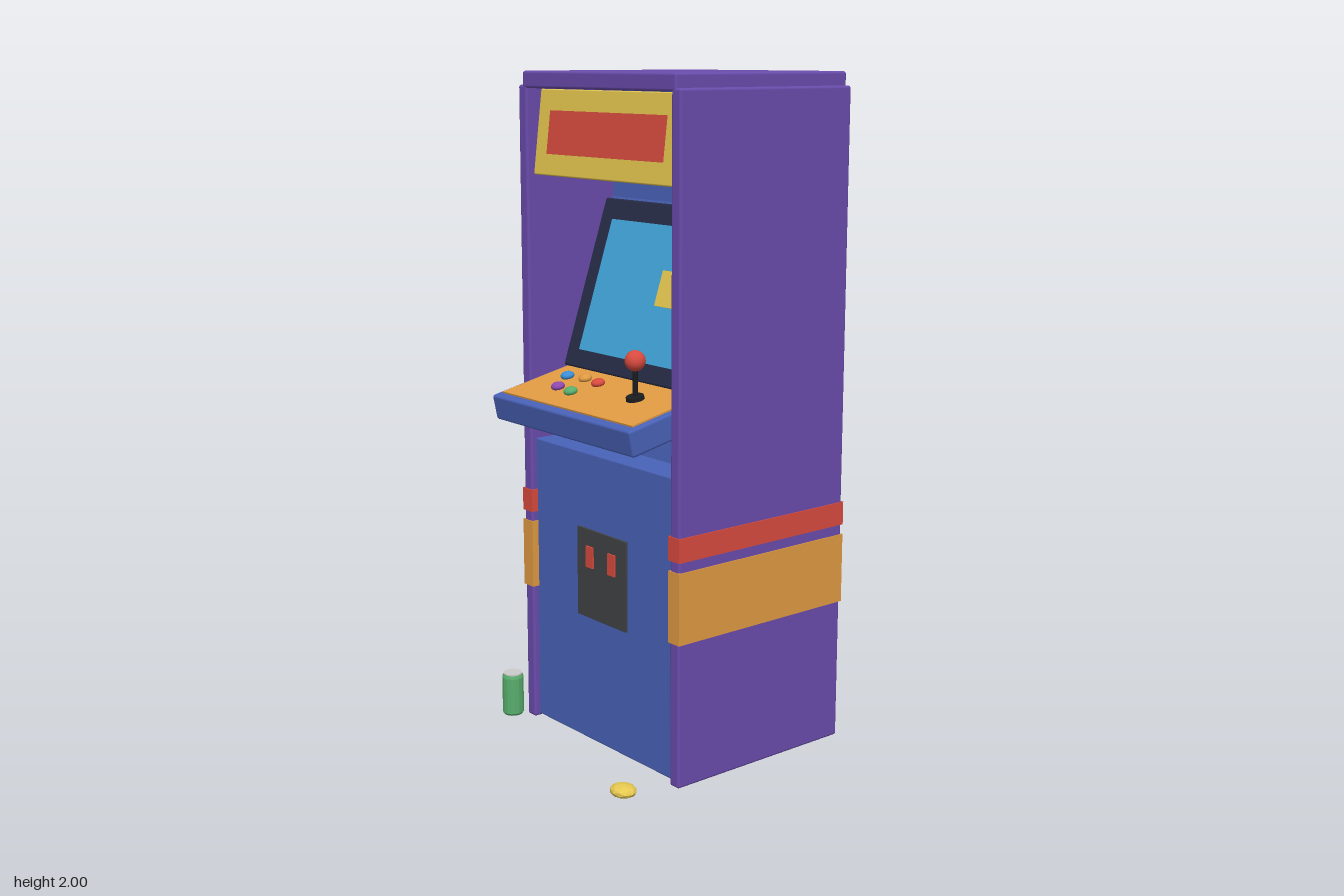
import * as THREE from 'three';
import { RoundedBoxGeometry } from 'three/addons/geometries/RoundedBoxGeometry.js';

const C = {
  purple: 0x6a4cac, blue: 0x4962b8, orange: 0xe09a42, red: 0xd94b3f, yellow: 0xe6c850,
  screen: 0x42a4da, navy: 0x262c46, charcoal: 0x404244, black: 0x1a1c1e, green: 0x58ad6c,
  violet: 0x8e48b0, sky: 0x3a8fd8, grey: 0xcccccc,
};
const MID = 0.03; // the cabinet stands slightly off centre

const mat = (color, flat = false) => new THREE.MeshStandardMaterial({ color, flatShading: flat });

function add(parent, name, geometry, color, x = 0, y = 0, z = 0, flat = false) {
  const mesh = new THREE.Mesh(geometry, mat(color, flat));
  mesh.name = name;
  mesh.position.set(x, y, z);
  parent.add(mesh);
  return mesh;
}

// Box given by its limits on each axis; r > 0 rounds the edges
function box(parent, name, color, [x0, x1], [y0, y1], [z0, z1], r = 0) {
  const s = [x1 - x0, y1 - y0, z1 - z0];
  const g = r ? new RoundedBoxGeometry(...s, 2, r) : new THREE.BoxGeometry(...s);
  return add(parent, name, g, color, (x0 + x1) / 2, (y0 + y1) / 2, (z0 + z1) / 2);
}

// Group hinged on a line across the cabinet, tilted by an angle in degrees
function tilted(parent, name, y, z, degrees) {
  const g = new THREE.Group();
  g.name = name;
  g.position.set(0, y, z);
  g.rotation.x = THREE.MathUtils.degToRad(degrees);
  parent.add(g);
  return g;
}

export function createModel() {
  const model = new THREE.Group();
  model.name = 'arcadeCabinet';

  // Side panels with wrapped stripes
  for (const [side, s] of [['left', 1], ['right', -1]]) {
    const x = MID + s * 0.35;
    box(model, side + 'SidePanel', C.purple, [x - 0.02, x + 0.02], [0, 1.96], [-0.415, 0.22], 0.008);
    box(model, side + 'RedStripe', C.red, [x - 0.0235, x + 0.0235], [0.67, 0.74], [-0.418, 0.223]);
    box(model, side + 'OrangeStripe', C.orange, [x - 0.0235, x + 0.0235], [0.43, 0.64], [-0.418, 0.223]);
  }
  box(model, 'roof', C.purple, [-0.32, 0.38], [1.95, 2], [-0.415, 0.22], 0.008);

  // Lower body and floor plate
  box(model, 'lowerBody', C.blue, [-0.305, 0.365], [0.006, 0.9], [-0.408, 0.2], 0.005);
  box(model, 'floorPlate', C.black, [-0.3, 0.36], [0.003, 0.02], [-0.4, 0.19]);

  // Upper body with a front that leans back behind the display
  const profile = new THREE.Shape([
    [0.408, 0.902], [0.408, 1.955], [0.12, 1.955], [0.1, 1.62], [-0.07, 1.12], [-0.1, 0.902],
  ].map(([z, y]) => new THREE.Vector2(z, y)));
  const upper = add(model, 'upperBody',
    new THREE.ExtrudeGeometry(profile, { depth: 0.66, bevelEnabled: false }), C.blue, -0.3);
  upper.rotation.y = Math.PI / 2;

  // Marquee
  const marquee = tilted(model, 'marquee', 1.7, 0.2, -7);
  box(marquee, 'marqueeBox', C.yellow, [-0.296, 0.356], [0, 0.25], [-0.15, 0], 0.004);
  box(marquee, 'marqueePanel', C.red, [-0.235, 0.295], [0.062, 0.188], [-0.01, 0.004]);

  // Display
  const display = tilted(model, 'display', 1.12, 0.105, -18.5);
  box(display, 'bezel', C.navy, [-0.286, 0.348], [0, 0.527], [-0.05, 0], 0.006);
  box(display, 'screen', C.screen, [-0.225, 0.288], [0.055, 0.462], [-0.01, 0.004]);
  box(display, 'screenBlock', C.yellow, [0.072, 0.2], [0.224, 0.33], [0, 0.008]);

  // Control panel, hinged on its upper front edge
  const panel = tilted(model, 'controlPanel', 1.055, 0.362, 12);
  box(panel, 'panelBox', C.blue, [-0.298, 0.358], [-0.078, 0], [-0.32, 0], 0.008);
  box(panel, 'panelTop', C.orange, [-0.277, 0.34], [-0.01, 0.005], [-0.3, -0.027]);

  // Buttons: colour, x, distance behind the front edge
  const buttons = [
    ['sky', -0.18, 0.2], ['orange', -0.105, 0.21], ['red', -0.03, 0.2],
    ['violet', -0.128, 0.125], ['green', -0.053, 0.115],
  ];
  for (const [color, x, back] of buttons) {
    const b = add(panel, color + 'Button', new THREE.SphereGeometry(0.021, 16, 10), C[color], x, 0.012, -back);
    b.scale.y = 0.6;
  }

  // Joystick
  const stick = new THREE.Group();
  stick.name = 'joystick';
  stick.position.set(0.18, 1.09, 0.198);
  model.add(stick);
  const collar = add(stick, 'joystickCollar', new THREE.CylinderGeometry(0.026, 0.028, 0.016, 16), C.black, 0, 0.008, 0);
  collar.rotation.x = panel.rotation.x;
  add(stick, 'joystickShaft', new THREE.CylinderGeometry(0.008, 0.008, 0.1, 10), C.black, 0, 0.055, 0);
  add(stick, 'joystickBall', new THREE.SphereGeometry(0.03, 20, 14), C.red, 0, 0.116, 0);

  // Coin door with two slots
  box(model, 'coinDoor', C.charcoal, [-0.085, 0.145], [0.397, 0.67], [0.19, 0.208]);
  for (const x of [-0.022, 0.082])
    box(model, 'coinSlot', C.red, [x - 0.017, x + 0.017], [0.555, 0.62], [0.2, 0.213]);

  // Drink can beside the cabinet
  const can = [[0, 0], [0.029, 0], [0.034, 0.007], [0.034, 0.122], [0.03, 0.132], [0, 0.132]];
  add(model, 'drinkCan', new THREE.LatheGeometry(can.map(p => new THREE.Vector2(...p)), 16),
    C.green, -0.373, 0, 0.253, true);
  add(model, 'canLid', new THREE.CylinderGeometry(0.03, 0.03, 0.008, 16), C.grey, -0.373, 0.132, 0.253);

  // Crumpled wrapper on the ground
  const wrapper = add(model, 'wrapper', new THREE.IcosahedronGeometry(0.042, 1), C.yellow, 0.348, 0.026, 0.378, true);
  wrapper.scale.set(1, 0.45, 0.88);

  return model;
}
